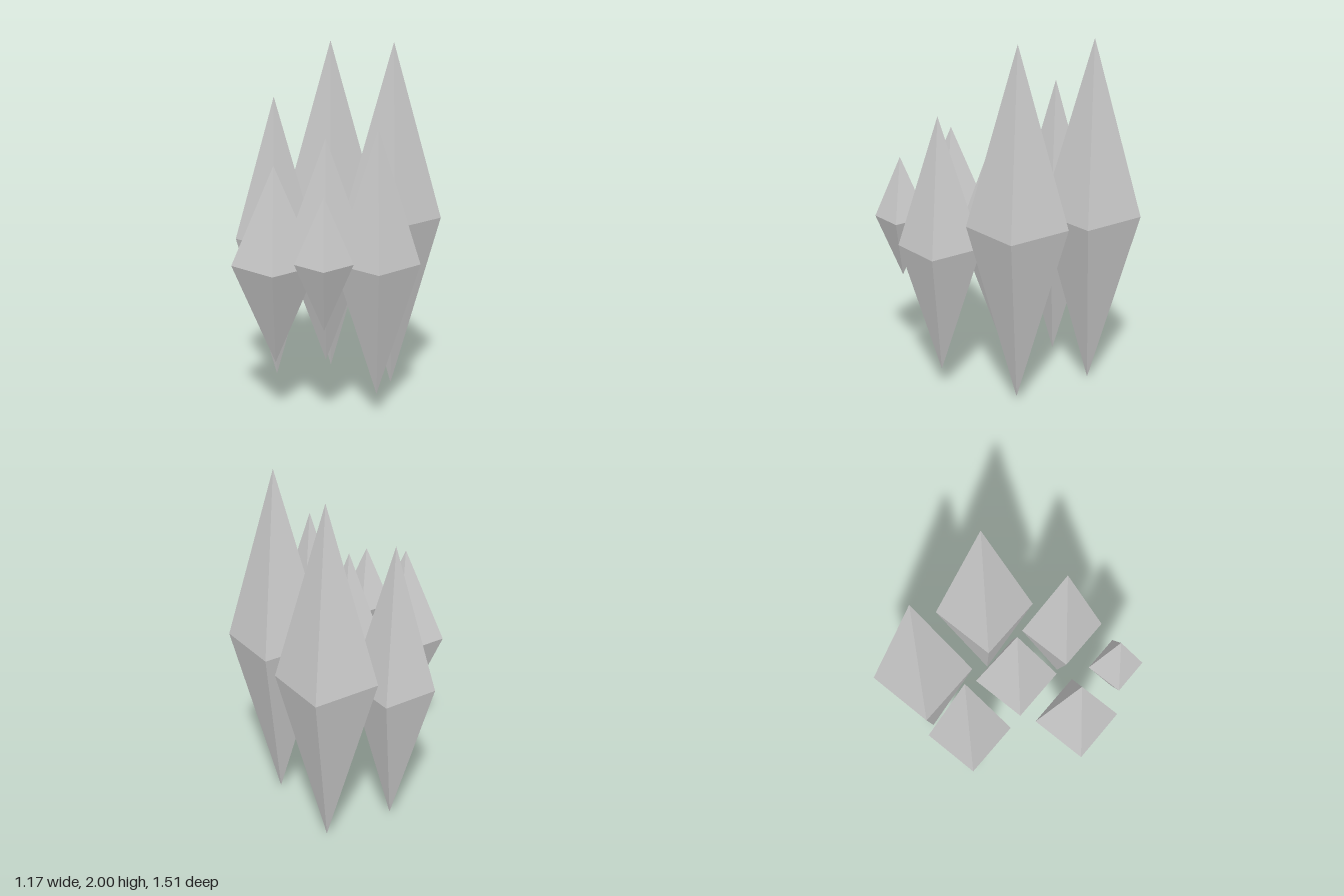
import * as THREE from 'three';

// Each crystal: name, centre x, y, z, half width, half height
const CRYSTALS = [
  ['backCrystal', -0.04, 0.99, -0.48, 0.275, 0.99],
  ['backRightCrystal', -0.36, 0.855, -0.25, 0.23, 0.827],
  ['leftCrystal', 0.31, 1.013, -0.107, 0.275, 0.987],
  ['centreCrystal', -0.065, 0.855, 0.04, 0.23, 0.637],
  ['frontRightCrystal', -0.335, 0.855, 0.352, 0.23, 0.54],
  ['frontLeftCrystal', 0.213, 0.857, 0.33, 0.23, 0.733],
  ['frontCrystal', -0.07, 0.927, 0.6, 0.152, 0.353],
];

export function createModel() {
  const model = new THREE.Group();
  model.name = 'crystalCluster';
  const material = new THREE.MeshStandardMaterial({ color: 0xcccccc, flatShading: true });

  // Stretched octahedra floating side by side
  for (const [name, x, y, z, halfWidth, halfHeight] of CRYSTALS) {
    const geometry = new THREE.OctahedronGeometry(1).scale(halfWidth, halfHeight, halfWidth);
    const crystal = new THREE.Mesh(geometry, material);
    crystal.name = name;
    crystal.position.set(x, y, z);
    model.add(crystal);
  }
  return model;
}
